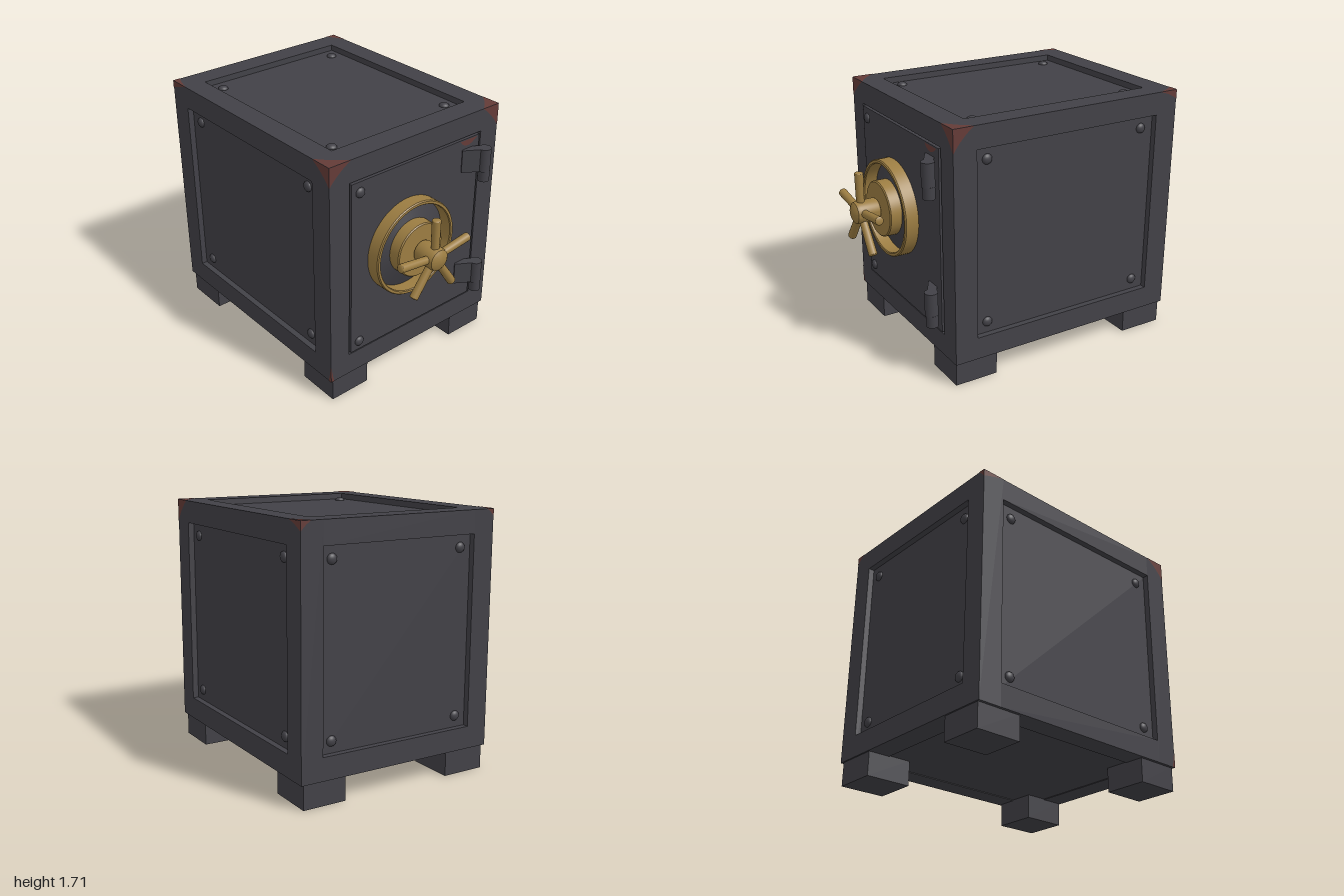
import * as THREE from 'three';
import { toCreasedNormals } from 'three/addons/utils/BufferGeometryUtils.js';

const flat = (name, color) => {
  const m = new THREE.MeshStandardMaterial({ color });
  m.name = name;
  return m;
};

export function createModel() {
  const iron = flat('dark iron', 0x424147);
  const brass = flat('brass', 0x9c7d42);
  const rust = flat('rust', 0x643b37);

  const root = new THREE.Group();
  root.name = 'safe';
  const add = (name, geo, mat, x = 0, y = 0, z = 0, parent = root) => {
    const mesh = new THREE.Mesh(geo, mat);
    mesh.name = name;
    mesh.position.set(x, y, z);
    parent.add(mesh);
    return mesh;
  };
  // box given by its limits on each axis
  const block = (name, [x0, x1], [y0, y1], [z0, z1], mat = iron) =>
    add(name, new THREE.BoxGeometry(x1 - x0, y1 - y0, z1 - z0), mat,
      (x0 + x1) / 2, (y0 + y1) / 2, (z0 + z1) / 2);
  const span = (s, inner, outer) => (s > 0 ? [inner, outer] : [-outer, -inner]);

  // body and the raised frame around its recessed panels
  block('body', [-0.66, 0.66], [0.165, 1.67], [-0.95, 0.64]);
  const zEnds = [[-0.99, -0.83], [0.52, 0.68]];
  const yEnds = [[0.16, 0.31], [1.56, 1.71]];
  for (const s of [-1, 1]) {
    for (const z of zEnds) block('framePost', span(s, 0.55, 0.7), [0.16, 1.71], z);
    for (const y of yEnds) block('sideRail', span(s, 0.55, 0.7), y, [-0.83, 0.52]);
  }
  for (const z of zEnds) for (const y of yEnds) block('crossRail', [-0.55, 0.55], y, z);

  // feet
  for (const s of [-1, 1])
    for (const z of [[0.37, 0.67], [-0.98, -0.67]])
      block('foot', span(s, 0.385, 0.68), [0, 0.17], z);

  // door with a narrow gap around it
  block('door', [-0.538, 0.532], [0.322, 1.548], [0.6, 0.685]);

  // domed rivets, rising along a normal
  const dome = new THREE.SphereGeometry(0.034, 16, 6, 0, Math.PI * 2, 0, Math.PI / 2);
  dome.scale(1, 0.65, 1);
  const up = new THREE.Vector3(0, 1, 0);
  const rivet = (x, y, z, nx, ny, nz) =>
    add('rivet', dome, iron, x, y, z).quaternion
      .setFromUnitVectors(up, new THREE.Vector3(nx, ny, nz));
  for (const y of [0.387, 1.477]) {
    rivet(-0.472, y, 0.685, 0, 0, 1);
    for (const s of [-1, 1]) {
      rivet(s * 0.47, y, -0.95, 0, 0, -1);
      for (const z of [0.43, -0.735]) rivet(s * 0.66, y, z, s, 0, 0);
    }
  }
  for (const s of [-1, 1]) for (const z of [0.42, -0.735]) rivet(s * 0.47, 1.67, z, 0, 1, 0);

  // hinges: slanted leaf, knuckle and the pin barrel below it
  for (const y of [1.32, 0.46]) {
    const hinge = new THREE.Group();
    hinge.name = 'hinge';
    hinge.position.y = y;
    root.add(hinge);
    const leaf = add('hingeLeaf', new THREE.BoxGeometry(0.165, 0.158, 0.06), iron, 0.462, 0.079, 0.712, hinge);
    leaf.rotation.y = -Math.atan2(0.085, 0.14);
    add('hingeKnuckle', new THREE.CylinderGeometry(0.043, 0.043, 0.158, 20), iron, 0.52, 0.079, 0.752, hinge);
    add('hingeBarrel', new THREE.CylinderGeometry(0.039, 0.039, 0.08, 20), iron, 0.526, -0.035, 0.752, hinge);
  }

  // dial: turned parts share an axis pointing forward
  const turned = (name, mat, y, pts) => {
    const lathe = new THREE.LatheGeometry(pts.map(p => new THREE.Vector2(...p)), 56);
    return add(name, toCreasedNormals(lathe, 0.6), mat, -0.08, y, 0).rotation.x = Math.PI / 2;
  };
  turned('dialRing', brass, 0.975,
    [[0.326, 0.68], [0.326, 0.77], [0.32, 0.778], [0.304, 0.778], [0.299, 0.772], [0.299, 0.68]]);
  turned('dialRecess', iron, 0.975, [[0.301, 0.688], [0.18, 0.735]]);
  turned('dialPlate', brass, 0.98, [[0.187, 0.68], [0.187, 0.808], [0.18, 0.815], [0, 0.815]]);

  // five-spoke handle
  turned('handleShaft', brass, 0.985, [[0.045, 0.8], [0.045, 0.84]]);
  turned('handleHub', brass, 0.985,
    [[0, 0.82], [0.06, 0.82], [0.072, 0.828], [0.076, 0.84], [0.076, 0.96], [0.07, 0.98], [0.05, 0.993], [0, 1]]);
  const spokes = [[90, 0.275], [8, 0.298], [172, 0.298], [234, 0.29], [304, 0.298]];
  for (const [deg, length] of spokes) {
    const spoke = new THREE.Group();
    spoke.name = 'spoke';
    spoke.position.set(-0.08, 0.985, 0.937);
    spoke.rotation.z = THREE.MathUtils.degToRad(deg - 90);
    root.add(spoke);
    add('spokeBar', new THREE.CylinderGeometry(0.029, 0.026, length - 0.01, 16), brass,
      0, (length - 0.01) / 2, 0, spoke);
    const cap = add('spokeCap', new THREE.SphereGeometry(0.029, 16, 6, 0, Math.PI * 2, 0, Math.PI / 2), brass,
      0, length - 0.01, 0, spoke);
    cap.scale.y = 0.35;
  }

  // worn corners: thin patches on the three faces meeting at a corner
  const patch = (corner, u, v, n, a, b) => {
    if (u.clone().cross(v).dot(n) < 0) { [u, v] = [v, u]; [a, b] = [b, a]; }
    const shape = new THREE.Shape();
    shape.moveTo(0, 0);
    shape.lineTo(a, 0);
    shape.quadraticCurveTo(a * 0.4, b * 0.4, 0, b);
    const geo = new THREE.ShapeGeometry(shape, 6);
    geo.applyMatrix4(new THREE.Matrix4().makeBasis(u, v, n));
    const p = corner.clone().addScaledVector(n, 0.002);
    add('rustPatch', geo, rust, p.x, p.y, p.z);
  };
  // signs of x, y, z, then reach along each axis
  const worn = [
    [-1, 1, 1, 0.16, 0.13, 0.15], [1, 1, 1, 0.14, 0.15, 0.14],
    [-1, 1, -1, 0.05, 0.05, 0.16], [1, 1, -1, 0.07, 0.06, 0.13],
    [-1, -1, 1, 0.025, 0.13, 0.025],
  ];
  for (const [sx, sy, sz, rx, ry, rz] of worn) {
    const corner = new THREE.Vector3(sx * 0.7, sy > 0 ? 1.71 : 0.16, sz > 0 ? 0.68 : -0.99);
    const X = new THREE.Vector3(sx, 0, 0), Y = new THREE.Vector3(0, sy, 0), Z = new THREE.Vector3(0, 0, sz);
    const inX = X.clone().negate(), inY = Y.clone().negate(), inZ = Z.clone().negate();
    patch(corner, inX, inY, Z, rx, ry);
    patch(corner, inZ, inY, X, rz, ry);
    if (sy > 0) patch(corner, inX, inZ, Y, rx, rz);
  }

  // worn spot on the door's upper edge
  const spot = new THREE.Shape();
  spot.moveTo(0.36, 1.54);
  spot.quadraticCurveTo(0.42, 1.46, 0.51, 1.54);
  add('doorRust', new THREE.ShapeGeometry(spot, 8), rust, 0, 0, 0.687);

  return root;
}
